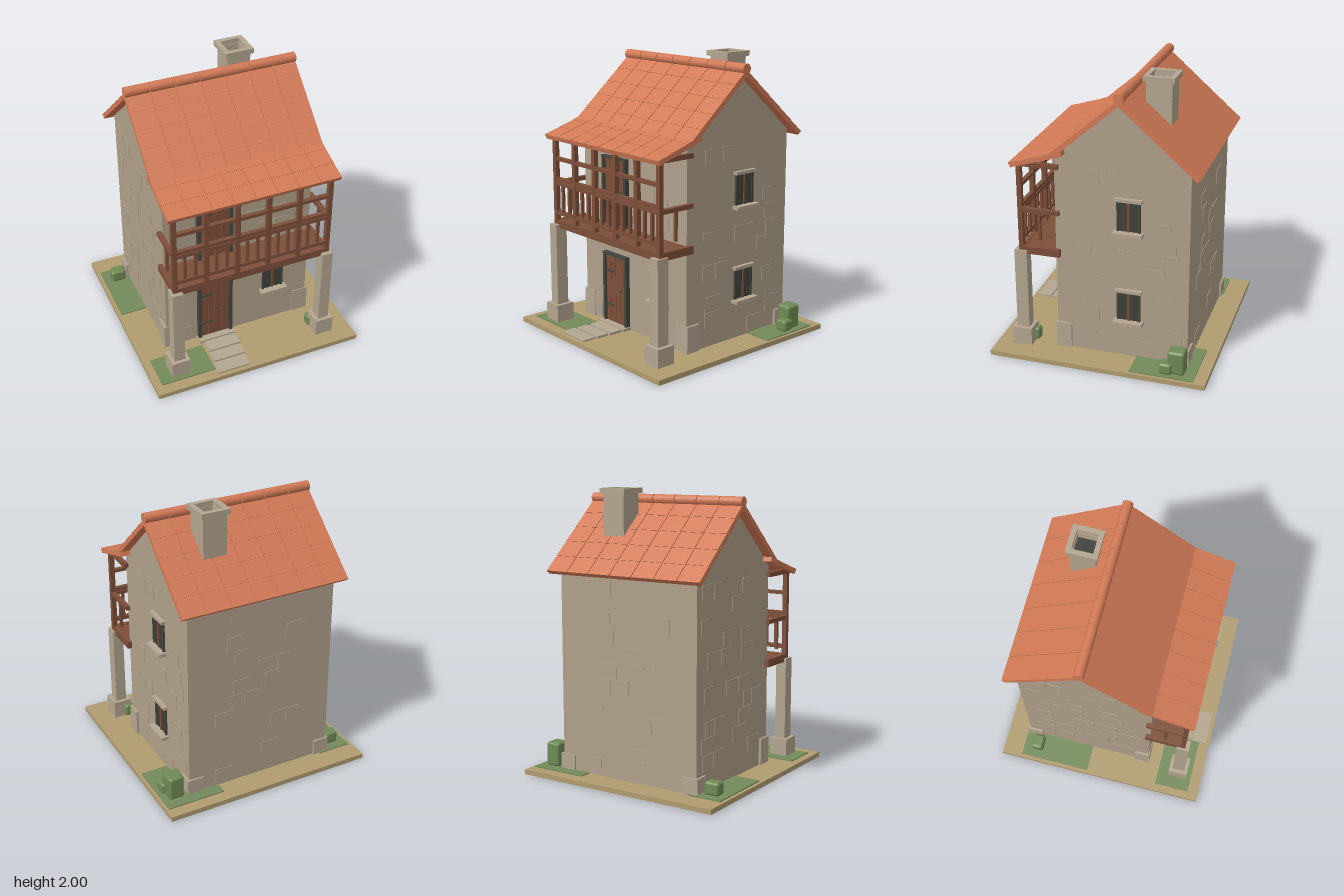
import * as THREE from 'three';
import { RoundedBoxGeometry } from 'three/addons/geometries/RoundedBoxGeometry.js';

const mat = (name, color, extra = {}) => {
  const m = new THREE.MeshStandardMaterial({ color, ...extra });
  m.name = name;
  return m;
};

export function createModel() {
  const wall = mat('wall stone', 0xb0a08a);
  const trim = mat('trim stone', 0xb3a590);
  const tile = mat('clay tile', 0xd27a56);
  const wood = mat('brown wood', 0x7d4f39);
  const iron = mat('dark frame', 0x45463f);
  const glass = mat('dark pane', 0x3d403a);
  const earth = mat('earth', 0xb09c70);
  const grass = mat('grass', 0x738a5a);
  const leaf = mat('leaf', 0x6f8a55);

  const root = new THREE.Group();
  root.name = 'house';
  const group = (name, parent = root) => {
    const g = new THREE.Group();
    g.name = name;
    parent.add(g);
    return g;
  };
  const add = (parent, name, geo, m) => {
    const mesh = new THREE.Mesh(geo, m);
    mesh.name = name;
    parent.add(mesh);
    return mesh;
  };
  // Box given by its extents on each axis
  const box = (parent, name, m, x0, x1, y0, y1, z0, z1) => {
    const mesh = add(parent, name, new THREE.BoxGeometry(x1 - x0, y1 - y0, z1 - z0), m);
    mesh.position.set((x0 + x1) / 2, (y0 + y1) / 2, (z0 + z1) / 2);
    return mesh;
  };
  let seed = 7;
  const rand = () => (seed = (seed * 16807) % 2147483647) / 2147483647;

  // Ground and grass patches
  box(root, 'ground', earth, -0.77, 0.77, 0, 0.035, -0.77, 0.77);
  [[-0.745, -0.5, -0.62, -0.1], [0.33, 0.75, -0.685, -0.235], [-0.715, -0.315, 0.435, 0.69]]
    .forEach(([a, b, c, d]) => box(root, 'grassPatch', grass, a, b, 0.035, 0.042, c, d));

  // Stone body with gables
  const W = 0.55, ZF = 0.34, ZB = -0.595, RZ = -0.127;
  const profile = new THREE.Shape([
    [ZB, 0.035], [ZF, 0.035], [ZF, 1.46], [RZ, 1.875], [ZB, 1.46],
  ].map(([z, y]) => new THREE.Vector2(z, y)));
  const body = new THREE.ExtrudeGeometry(profile, { depth: 2 * W, bevelEnabled: false });
  body.rotateY(-Math.PI / 2).translate(W, 0, 0);
  add(root, 'walls', body, wall);

  // Thin raised stones on the four walls
  const stones = group('wallStones');
  const blocked = {
    front: [[-0.36, 0, 0, 1.32], [0.14, 0.4, 0.27, 0.58]],
    right: [[-0.3, -0.06, 0.27, 0.58], [-0.3, -0.06, 0.93, 1.25]],
    left: [], back: [],
  };
  for (const side of Object.keys(blocked)) {
    const alongX = side === 'front' || side === 'back';
    const [lo, hi] = alongX ? [-W, W] : [ZB, ZF];
    for (let row = 0; row < 12; row++) {
      const y = 0.06 + row * 0.113;
      for (let u = lo + 0.02 + rand() * 0.12; u < hi - 0.19;) {
        const w = 0.1 + rand() * 0.07;
        const clash = blocked[side].some(([a, b, c, d]) => u < b && u + w > a && y < d && y + 0.105 > c);
        if (rand() < 0.3 && !clash) {
          const t = 0.004;
          if (side === 'front') box(stones, 'stone', wall, u, u + w, y, y + 0.105, ZF, ZF + t);
          if (side === 'back') box(stones, 'stone', wall, u, u + w, y, y + 0.105, ZB - t, ZB);
          if (side === 'right') box(stones, 'stone', wall, W, W + t, y, y + 0.105, u, u + w);
          if (side === 'left') box(stones, 'stone', wall, -W - t, -W, y, y + 0.105, u, u + w);
        }
        u += w + 0.008;
      }
    }
  }
  // Corner stones at the foot of the walls
  for (const s of [-1, 1]) for (const [z, h] of [[ZF - 0.048, 0.225], [ZB + 0.042, 0.15]]) {
    const c = add(root, 'cornerStone', new THREE.BoxGeometry(0.12, h - 0.035, 0.11), trim);
    c.position.set(s * (W - 0.043), (h + 0.035) / 2, z);
  }

  // Tiled roof slope: local z runs downhill from the top edge
  const slope = (name, z, y, angle, length, cols, rows, back) => {
    const g = group(name);
    g.rotation.order = 'YXZ';
    g.rotation.set(angle, back ? Math.PI : 0, 0);
    g.position.set(0, y, z);
    box(g, 'roofDeck', tile, -0.615, 0.615, -0.034, -0.014, 0, length);
    const cw = 1.236 / cols, rl = length / rows;
    for (let i = 0; i < cols; i++) for (let j = 0; j < rows; j++) {
      const x = -0.618 + i * cw;
      const t = box(g, 'roofTile', tile, x + 0.003, x + cw - 0.003, -0.014, 0, j * rl, (j + 1) * rl + 0.004);
      t.rotation.x = -0.02;
    }
    return g;
  };
  const pitch = Math.atan(0.87);
  slope('frontRoof', RZ, 1.915, pitch, 0.5 / Math.cos(pitch), 7, 5, false);
  slope('backRoof', RZ, 1.915, pitch, 0.54 / Math.cos(pitch), 7, 5, true);
  slope('porchRoof', 0.27, 1.525, Math.atan(0.32), 0.383, 8, 3, false);

  // Ridge tiles
  for (let i = 0; i < 7; i++) {
    const r = add(root, 'ridgeTile', new THREE.CylinderGeometry(0.035, 0.035, 0.171, 14), tile);
    r.rotation.z = Math.PI / 2;
    r.position.set((i - 3) * 0.177, 1.92, RZ);
  }

  // Hollow chimney: four walls, four cap bars and a dark flue
  const chimney = group('chimney');
  const ring = (name, x0, x1, z0, z1, y0, y1, t) => {
    box(chimney, name, trim, x0, x1, y0, y1, z0, z0 + t);
    box(chimney, name, trim, x0, x1, y0, y1, z1 - t, z1);
    box(chimney, name, trim, x0, x0 + t, y0, y1, z0 + t, z1 - t);
    box(chimney, name, trim, x1 - t, x1, y0, y1, z0 + t, z1 - t);
  };
  ring('chimneyShaft', 0.16, 0.33, -0.4, -0.225, 1.6, 1.966, 0.02);
  ring('chimneyCap', 0.14, 0.348, -0.42, -0.207, 1.964, 2, 0.035);
  box(chimney, 'flue', glass, 0.178, 0.312, 1.88, 1.9, -0.382, -0.243);

  // Window in a local frame, facing +z
  const makeWindow = (w, h) => {
    const g = group('window');
    box(g, 'pane', glass, -w / 2, w / 2, 0, h, -0.01, 0.006);
    for (const s of [-1, 1]) {
      box(g, 'frameSide', iron, s * w / 2 - 0.008, s * w / 2 + 0.008, 0, h, 0, 0.014);
      box(g, 'windowBar', iron, s * w / 4 - 0.003, s * w / 4 + 0.003, 0, h, 0, 0.01);
    }
    box(g, 'mullion', wood, -0.008, 0.008, 0, h, 0, 0.014);
    box(g, 'lintel', trim, -w / 2 - 0.02, w / 2 + 0.02, h, h + 0.022, -0.01, 0.03);
    box(g, 'sill', trim, -w / 2 - 0.028, w / 2 + 0.028, -0.024, 0, -0.01, 0.056);
    return g;
  };
  makeWindow(0.145, 0.19).position.set(0.275, 0.335, ZF);
  for (const y of [0.32, 0.99]) {
    const w = makeWindow(0.15, 0.215);
    w.position.set(W, y, -0.178);
    w.rotation.y = Math.PI / 2;
  }

  // Plank doors with dark frames and strap hinges
  for (const [y0, y1] of [[0.05, 0.57], [0.785, 1.275]]) {
    const d = group('door');
    box(d, 'doorBack', iron, -0.3, -0.06, y0, y1, ZF - 0.01, ZF + 0.008);
    box(d, 'jamb', iron, -0.312, -0.288, y0, y1, ZF, ZF + 0.035);
    box(d, 'jamb', iron, -0.074, -0.05, y0, y1, ZF, ZF + 0.035);
    box(d, 'head', iron, -0.288, -0.074, y1 - 0.02, y1, ZF, ZF + 0.035);
    for (let i = 0; i < 4; i++) {
      const x = -0.286 + i * 0.0528;
      box(d, 'plank', wood, x, x + 0.05, y0 + 0.005, y1 - 0.022, ZF, ZF + 0.02);
    }
    for (const f of [0.25, 0.74]) {
      const y = y0 + f * (y1 - y0);
      box(d, 'hinge', iron, -0.28, -0.205, y - 0.007, y + 0.007, ZF + 0.02, ZF + 0.027);
    }
    const knob = add(d, 'doorKnob', new THREE.SphereGeometry(0.01, 10, 8), iron);
    knob.position.set(-0.118, y0 + 0.5 * (y1 - y0), ZF + 0.026);
  }

  // Stone path to the lower door
  box(root, 'threshold', trim, -0.32, -0.04, 0.035, 0.055, ZF, 0.41);
  box(root, 'pathSlab', trim, -0.29, -0.05, 0.035, 0.053, 0.42, 0.52);
  box(root, 'pathSlab', trim, -0.3, -0.06, 0.035, 0.05, 0.53, 0.625);
  box(root, 'pathSlab', trim, -0.315, -0.07, 0.035, 0.047, 0.635, 0.74);

  // Stone columns carrying the balcony
  for (const s of [-1, 1]) {
    const c = group('column');
    c.position.set(s * 0.558, 0, 0.585);
    box(c, 'columnBase', trim, -0.067, 0.067, 0.035, 0.165, -0.07, 0.07);
    box(c, 'columnShaft', trim, -0.039, 0.039, 0.165, 0.76, -0.045, 0.045);
  }

  // Timber balcony
  const b = group('balcony');
  box(b, 'balconyFloor', wood, -0.565, 0.565, 0.745, 0.785, 0.31, 0.58);
  box(b, 'floorBeam', wood, -0.575, 0.575, 0.735, 0.79, 0.565, 0.6);
  const postX = i => -0.564 + i * 0.2256;
  for (let i = 0; i < 6; i++) {
    const x = postX(i);
    box(b, 'post', wood, x - 0.017, x + 0.017, 0.76, 1.4, 0.567, 0.6);
    if (i < 5) for (const f of [1 / 3, 2 / 3]) {
      const bx = x + f * 0.2256;
      box(b, 'baluster', wood, bx - 0.01, bx + 0.01, 0.85, 1.05, 0.573, 0.593);
    }
  }
  for (const [y0, y1] of [[0.83, 0.858], [1.045, 1.07], [1.075, 1.102], [1.225, 1.25], [1.375, 1.408]]) {
    box(b, 'frontRail', wood, -0.583, 0.583, y0, y1, 0.569, 0.598);
  }
  for (const s of [-1, 1]) {
    const x = s * 0.564;
    for (const [y0, y1] of [[0.735, 0.79], [1.045, 1.075], [1.378, 1.41]]) {
      box(b, 'sideRail', wood, x - 0.016, x + 0.016, y0, y1, 0.307, 0.6);
    }
    box(b, 'sideBaluster', wood, x - 0.01, x + 0.01, 0.845, 1.05, 0.44, 0.46);
  }
  for (let i = 1; i < 5; i++) {
    box(b, 'ceilingBeam', wood, postX(i) - 0.012, postX(i) + 0.012, 1.378, 1.405, 0.33, 0.58);
  }

  // Rounded bushes: extents on each axis
  [[0.595, 0.705, 0.21, -0.61, -0.49], [0.635, 0.725, 0.12, -0.525, -0.435],
    [-0.69, -0.58, 0.13, -0.555, -0.47], [0.475, 0.545, 0.13, 0.487, 0.555]].forEach(([x0, x1, h, z0, z1]) => {
    const m = add(root, 'bush', new RoundedBoxGeometry(x1 - x0, h - 0.037, z1 - z0, 3, 0.02), leaf);
    m.position.set((x0 + x1) / 2, (h + 0.037) / 2, (z0 + z1) / 2);
  });

  return root;
}
